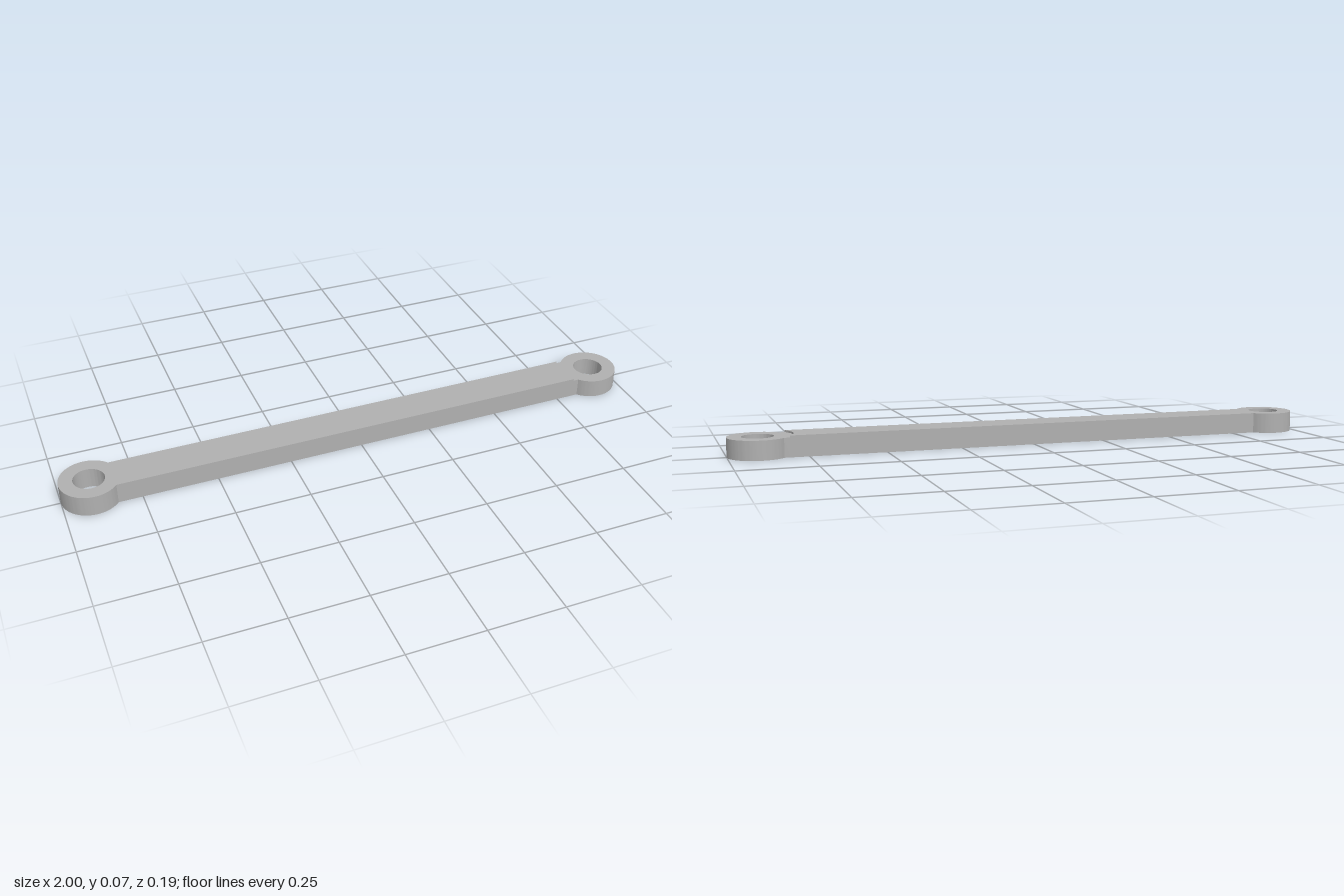
import * as THREE from 'three';
import { toCreasedNormals } from 'three/addons/utils/BufferGeometryUtils.js';

const EYE_X = 0.903;      // eye centre distance from the middle
const EYE_R = 0.097;      // outer radius of each eye
const HOLE_R = 0.051;
const HALF_W = 0.0625;    // half width of the bar
const RELIEF_R = 0.112;   // round clearance cut beside the lower eye
const HIGH = 0.0695;      // bar and right eye height
const LOW = 0.063;        // height of the thinner left eye

export function createModel() {
  const group = new THREE.Group();
  group.name = 'linkArm';

  const steel = new THREE.MeshStandardMaterial({ color: 0xb0b0b0 });
  steel.name = 'grey steel';

  const a = Math.asin(HALF_W / EYE_R);
  const b = Math.asin(HALF_W / RELIEF_R);
  const reliefX = EYE_X - RELIEF_R * Math.cos(b);

  // Extrude a plan outline with one bolt hole upward from the ground
  function addPlate(name, shape, holeX, height) {
    const hole = new THREE.Path();
    hole.absarc(holeX, 0, HOLE_R, 0, Math.PI * 2, true);
    shape.holes.push(hole);
    const geometry = new THREE.ExtrudeGeometry(shape, {
      depth: height, bevelEnabled: false, curveSegments: 48,
    });
    geometry.rotateX(-Math.PI / 2);
    const mesh = new THREE.Mesh(toCreasedNormals(geometry, 0.5), steel);
    mesh.name = name;
    group.add(mesh);
  }

  // Full-height eye and bar, ending in a concave arc
  const bar = new THREE.Shape();
  bar.absarc(-EYE_X, 0, EYE_R, a, Math.PI * 2 - a, false);
  bar.lineTo(reliefX, -HALF_W);
  bar.absarc(EYE_X, 0, RELIEF_R, Math.PI + b, Math.PI - b, true);
  bar.closePath();
  addPlate('barWithRightEye', bar, -EYE_X, HIGH);

  // Thinner eye with the short neck that meets the concave arc
  const eye = new THREE.Shape();
  eye.absarc(EYE_X, 0, EYE_R, a - Math.PI, Math.PI - a, false);
  eye.lineTo(reliefX, HALF_W);
  eye.absarc(EYE_X, 0, RELIEF_R, Math.PI - b, Math.PI + b, false);
  eye.closePath();
  addPlate('leftEye', eye, EYE_X, LOW);

  return group;
}
